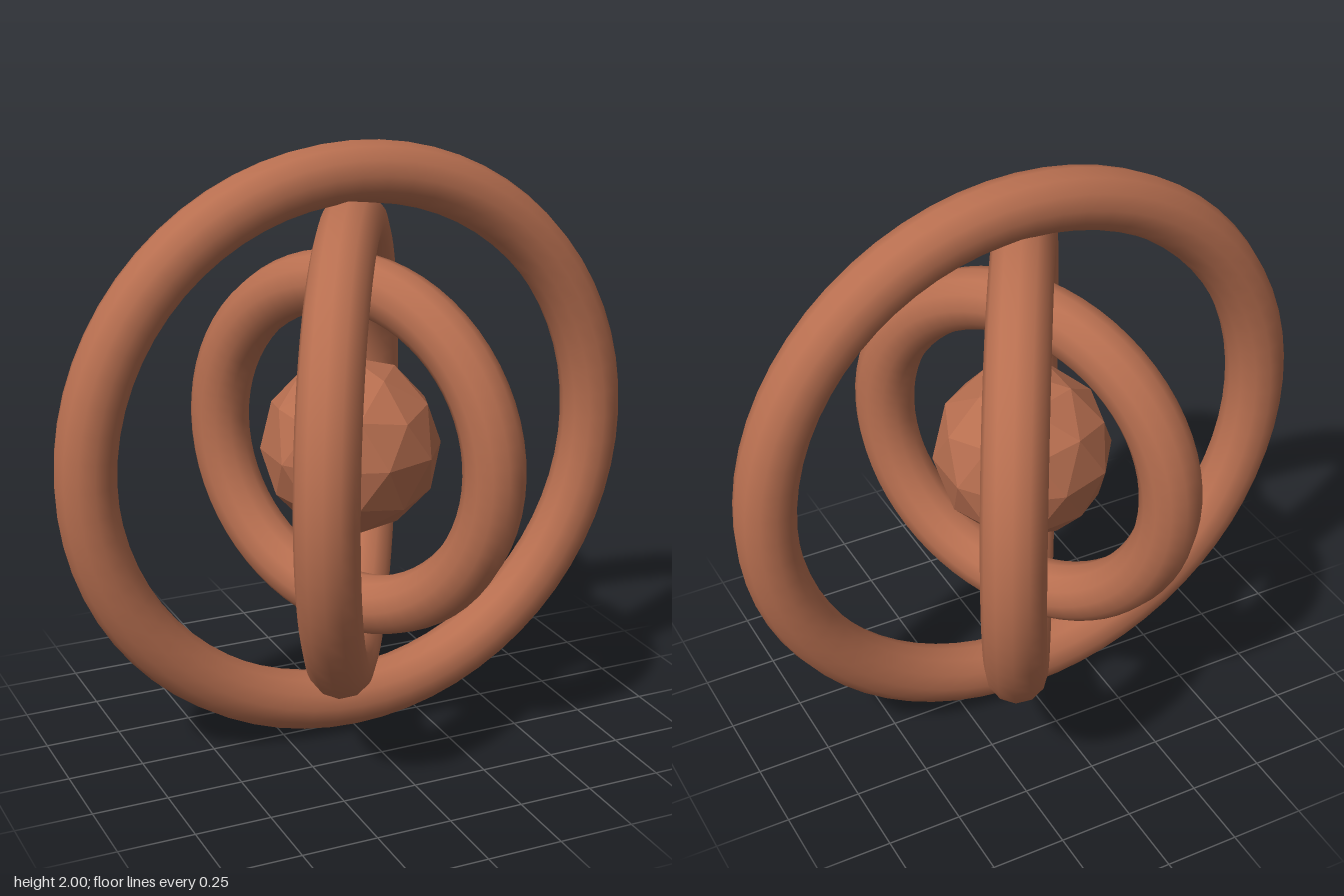
import * as THREE from 'three';

export function createModel() {
  const model = new THREE.Group();
  model.name = 'ringedCore';
  const smooth = new THREE.MeshStandardMaterial({ color: 0xb86f50 });
  const faceted = new THREE.MeshStandardMaterial({ color: 0xb86f50, flatShading: true });

  // Three nested upright rings, each turned a further 60 degrees
  const rings = [['outerRing', 0.9], ['middleRing', 0.725], ['innerRing', 0.55]];
  rings.forEach(([name, radius], i) => {
    const ring = new THREE.Mesh(new THREE.TorusGeometry(radius, 0.1, 12, 64), smooth);
    ring.name = name;
    ring.position.y = 1;
    ring.rotation.y = i * Math.PI / 3;
    model.add(ring);
  });

  // Faceted core, tipped so that a corner points straight up
  const coreShape = new THREE.IcosahedronGeometry(0.297, 1);
  coreShape.rotateX(-Math.atan((1 + Math.sqrt(5)) / 2));
  coreShape.rotateY(Math.PI / 2);
  const core = new THREE.Mesh(coreShape, faceted);
  core.name = 'core';
  core.position.y = 1;
  model.add(core);

  return model;
}
